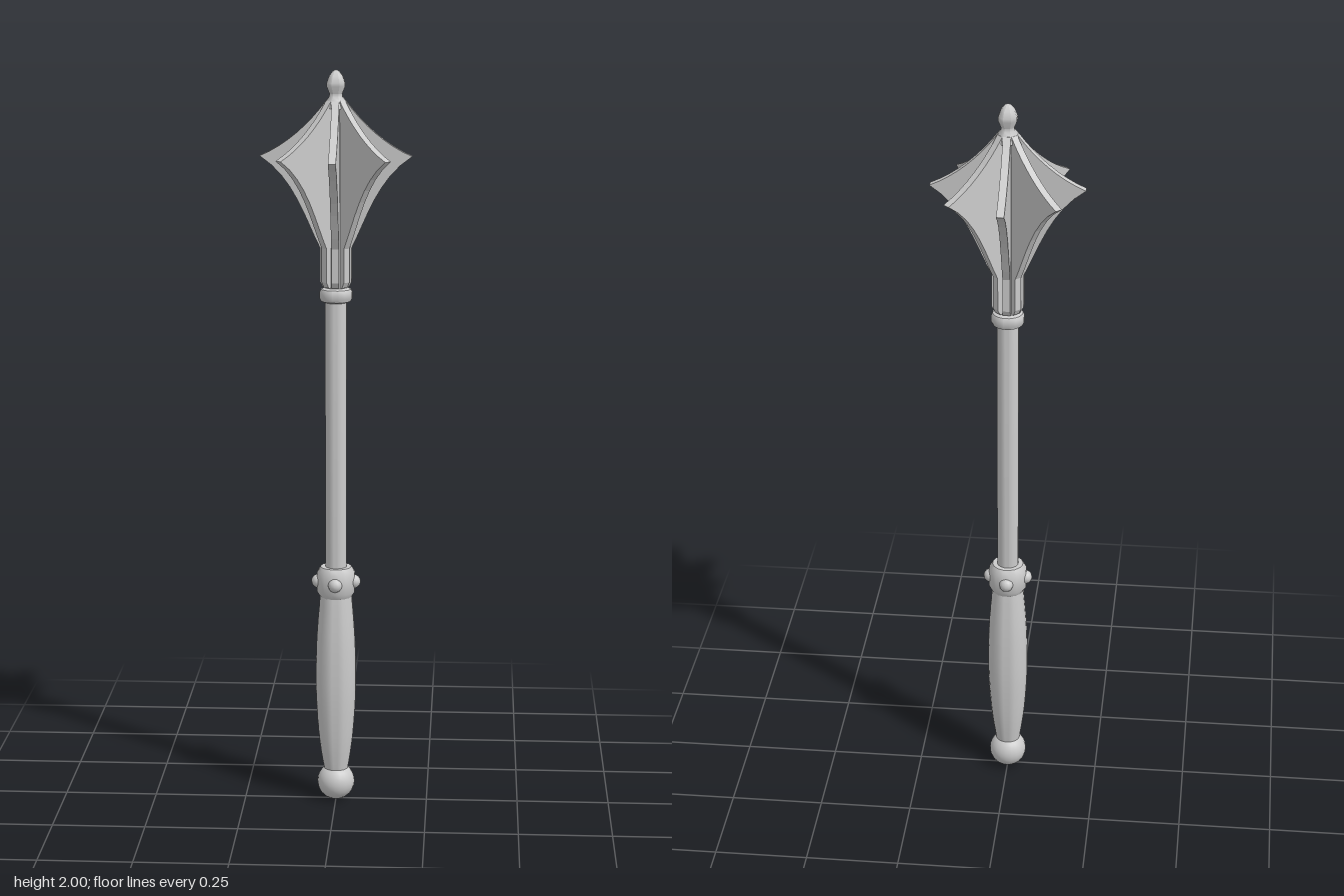
import * as THREE from 'three';
import { toCreasedNormals } from 'three/addons/utils/BufferGeometryUtils.js';

const material = new THREE.MeshStandardMaterial({ color: 0xcccccc });

export function createModel() {
  const model = new THREE.Group();
  model.name = 'flangedMace';

  const add = (name, geometry, parent = model) => {
    const mesh = new THREE.Mesh(geometry, material);
    mesh.name = name;
    parent.add(mesh);
    return mesh;
  };
  // Turned part from [radius, height] pairs, listed bottom to top
  const turned = (name, profile, sides = 16, crease = 0.7) => {
    const points = profile.map(([r, y]) => new THREE.Vector2(r, y));
    const lathe = new THREE.LatheGeometry(points, sides, Math.PI / sides);
    return add(name, toCreasedNormals(lathe, crease));
  };

  // Pommel ball
  add('pommel', new THREE.SphereGeometry(0.051, 20, 14)).position.y = 0.051;

  // Swelling grip, rounded by a spline through a few radii
  const gripCurve = new THREE.SplineCurve([
    [0.033, 0.09], [0.045, 0.17], [0.053, 0.27], [0.055, 0.36],
    [0.052, 0.47], [0.043, 0.585],
  ].map(([r, y]) => new THREE.Vector2(r, y)));
  turned('grip', [[0, 0.09], ...gripCurve.getPoints(16).map(p => [p.x, p.y]), [0, 0.585]], 20);

  // Guard ring with four round studs
  turned('guardRing', [
    [0, 0.578], [0.042, 0.578], [0.052, 0.595], [0.052, 0.648], [0.042, 0.664], [0, 0.664],
  ]);
  const studs = new THREE.Group();
  studs.name = 'guardStuds';
  model.add(studs);
  for (let i = 0; i < 4; i++) {
    const a = i * Math.PI / 2;
    const stud = add('stud', new THREE.SphereGeometry(0.019, 12, 8), studs);
    stud.position.set(0.048 * Math.sin(a), 0.622, 0.048 * Math.cos(a));
  }

  // Shaft, running up through the head
  turned('shaft', [[0, 0.64], [0.029, 0.64], [0.029, 1.86], [0.02, 1.92], [0, 1.92]]);

  // Collar under the head
  turned('collar', [
    [0.029, 1.388], [0.04, 1.392], [0.044, 1.4], [0.044, 1.416], [0.04, 1.424], [0.029, 1.428],
  ]);

  // Eight flanges with hollow-curved edges around the shaft
  const outline = new THREE.Shape();
  outline.moveTo(0, 1.43);
  outline.lineTo(0.034, 1.43);
  outline.lineTo(0.042, 1.445);
  outline.lineTo(0.042, 1.535);
  outline.bezierCurveTo(0.08, 1.61, 0.11, 1.72, 0.2, 1.776);
  outline.bezierCurveTo(0.13, 1.805, 0.07, 1.86, 0.026, 1.92);
  outline.lineTo(0, 1.92);
  outline.closePath();
  const flangeGeometry = new THREE.ExtrudeGeometry(outline, {
    depth: 0.02, bevelEnabled: false, curveSegments: 8,
  });
  flangeGeometry.translate(0, 0, -0.01);
  const flanges = new THREE.Group();
  flanges.name = 'flanges';
  model.add(flanges);
  for (let i = 0; i < 8; i++) {
    add('flange', flangeGeometry, flanges).rotation.y = i * Math.PI / 4;
  }

  // Pointed eight-sided finial on a small cap
  turned('finial', [
    [0, 1.9], [0.034, 1.9], [0.029, 1.918], [0.019, 1.93], [0.018, 1.938], [0.026, 1.957],
    [0.026, 1.966], [0.019, 1.984], [0.009, 1.996], [0, 2],
  ], 8, 0.9);

  return model;
}
